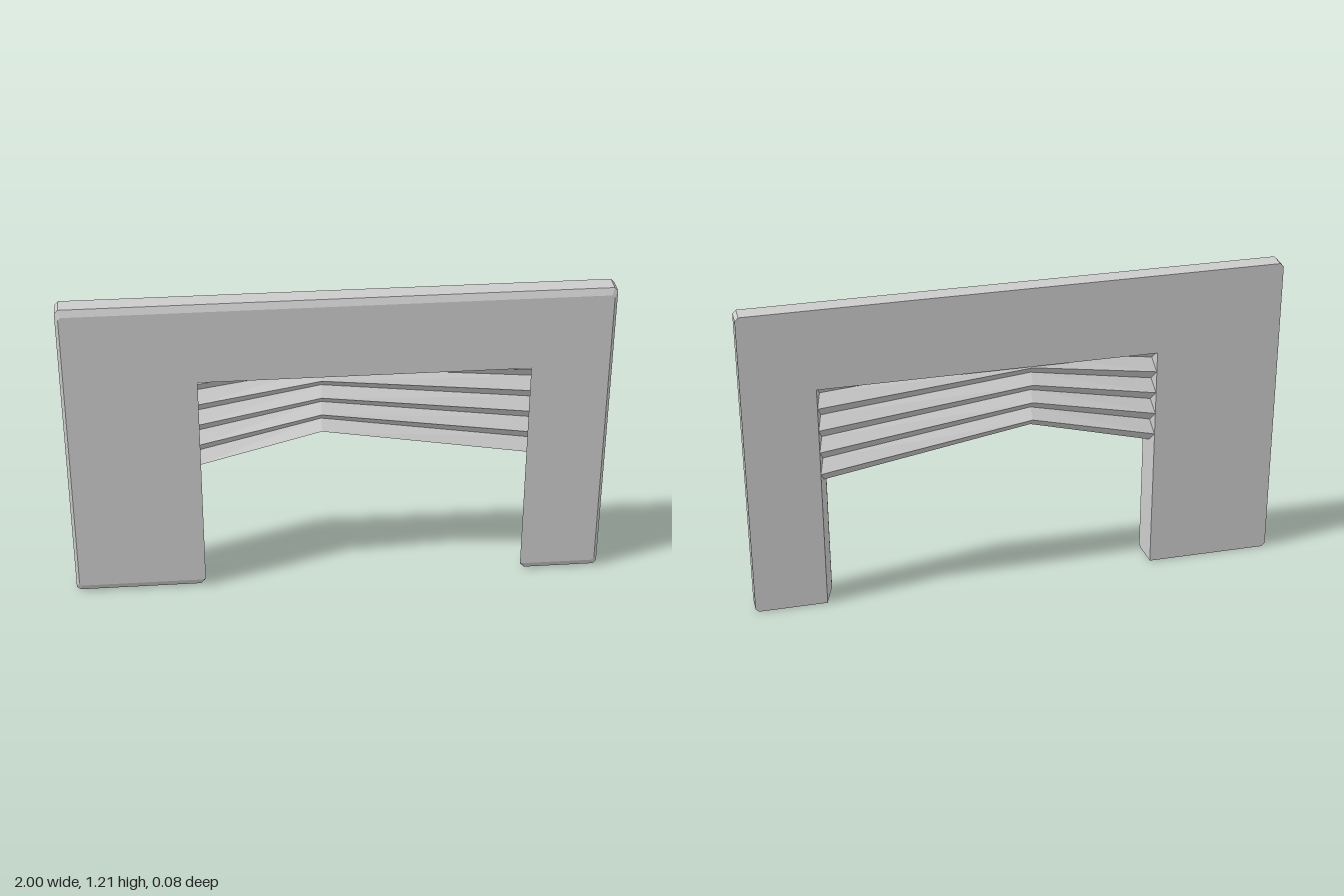
import * as THREE from 'three';

// U-shaped outline, counter-clockwise: outer edges, leg bottoms, opening, corner cuts
function outline({ x, cut, bottom, top, left, right, inner }) {
  return [
    [-x, bottom + cut], [-x + cut, bottom],
    [left - inner, bottom], [left, bottom + inner], [left, 0.895],
    [right, 0.895], [right, bottom + inner], [right + inner, bottom],
    [x - cut, bottom], [x, bottom + cut],
    [x, top - cut], [x - cut, top], [-x + cut, top], [-x, top - cut],
  ].map(([px, py]) => new THREE.Vector2(px, py));
}

function flatGeometry(positions) {
  const g = new THREE.BufferGeometry();
  g.setAttribute('position', new THREE.Float32BufferAttribute(positions, 3));
  g.computeVertexNormals();
  return g;
}

export function createModel() {
  const model = new THREE.Group();
  const material = new THREE.MeshStandardMaterial({
    color: 0xcccccc, flatShading: true, side: THREE.DoubleSide,
  });

  // Wall frame: back outline, shoulder and bevelled front face; the jambs taper inwards to the front
  const rings = [
    { z: -0.04, pts: outline({ x: 1, cut: 0.013, bottom: 0, top: 1.205, left: -0.53, right: 0.73, inner: 0.001 }) },
    { z: 0.028, pts: outline({ x: 1, cut: 0.013, bottom: 0.003, top: 1.205, left: -0.513, right: 0.703, inner: 0.016 }) },
    { z: 0.04, pts: outline({ x: 0.988, cut: 0.01, bottom: 0.028, top: 1.18, left: -0.51, right: 0.7, inner: 0.005 }) },
  ];
  const pos = [];
  const put = (ring, i) => pos.push(ring.pts[i].x, ring.pts[i].y, ring.z);
  for (let r = 0; r < 2; r++) {
    const a = rings[r], b = rings[r + 1], n = a.pts.length;
    for (let i = 0; i < n; i++) {
      const j = (i + 1) % n;
      put(a, i); put(a, j); put(b, j);
      put(a, i); put(b, j); put(b, i);
    }
  }
  for (const [a, b, c] of THREE.ShapeUtils.triangulateShape(rings[0].pts, [])) {
    put(rings[0], a); put(rings[0], c); put(rings[0], b);
  }
  for (const [a, b, c] of THREE.ShapeUtils.triangulateShape(rings[2].pts, [])) {
    put(rings[2], a); put(rings[2], b); put(rings[2], c);
  }
  const frame = new THREE.Mesh(flatGeometry(pos), material);
  frame.name = 'wallFrame';
  model.add(frame);

  // Pleated shutter: zigzag strips bent upwards at one fold, ends sunk into the jambs
  const columns = [
    { x: -0.54, y: 0.512, pitch: 0.0435 },
    { x: -0.06, y: 0.64, pitch: 0.0357 },
    { x: 0.74, y: 0.505, pitch: 0.0446 },
  ];
  const strips = 9;
  const pleats = [];
  const corner = (c, k) => pleats.push(c.x, c.y + c.pitch * k, k % 2 ? -0.039 : -0.002);
  for (let c = 0; c < 2; c++) {
    for (let k = 0; k < strips; k++) {
      const a = columns[c], b = columns[c + 1];
      corner(a, k); corner(b, k); corner(b, k + 1);
      corner(a, k); corner(b, k + 1); corner(a, k + 1);
    }
  }
  const shutter = new THREE.Mesh(flatGeometry(pleats), material);
  shutter.name = 'pleatedShutter';
  model.add(shutter);

  return model;
}
